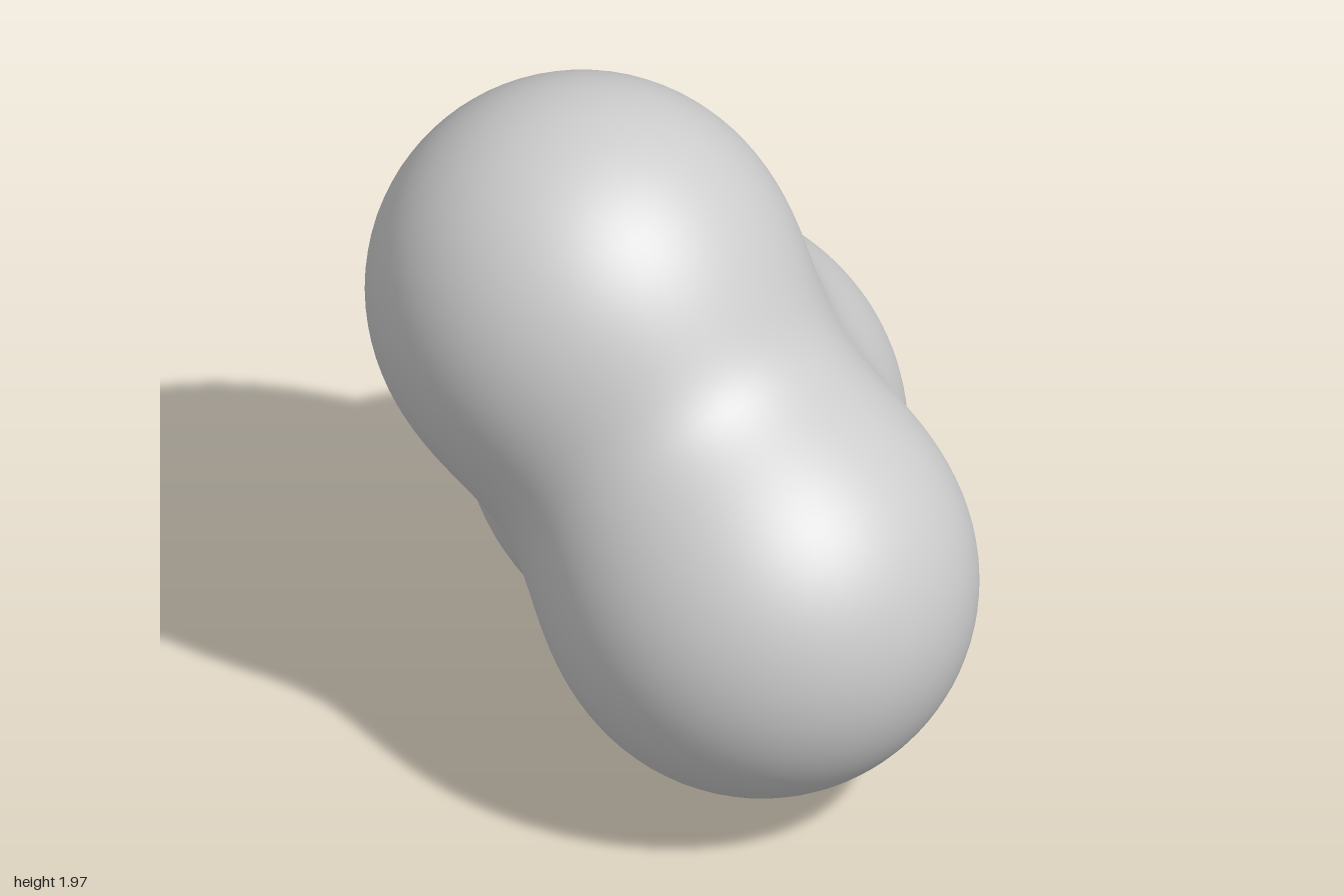
import * as THREE from 'three';

// Three equal balls melted into one smooth body
const BALLS = [
  new THREE.Vector3(-0.25, 1.37, -0.27), // upper lobe
  new THREE.Vector3(-0.18, 0.69, 0.41),  // front lobe
  new THREE.Vector3(0.25, 0.6, -0.4),    // rear lobe
];
const RADIUS = 0.595;
const BLEND = 0.16;

// Smooth union distance: negative inside the body
function field(p) {
  let sum = 0;
  for (const c of BALLS) sum += Math.exp((RADIUS - p.distanceTo(c)) / BLEND);
  return -BLEND * Math.log(sum);
}

// Outward normal: each ball's direction weighted by its influence
function fieldNormal(p) {
  const n = new THREE.Vector3();
  for (const c of BALLS) {
    const d = p.clone().sub(c);
    const len = d.length();
    n.addScaledVector(d, Math.exp((RADIUS - len) / BLEND) / len);
  }
  return n.normalize();
}

// Push every vertex of a sphere outward from the centre onto the blended surface
function blobGeometry(detail) {
  const geometry = new THREE.IcosahedronGeometry(1, detail);
  const pos = geometry.attributes.position;
  const normal = geometry.attributes.normal;
  const centre = new THREE.Vector3();
  BALLS.forEach((c) => centre.addScaledVector(c, 1 / BALLS.length));
  const dir = new THREE.Vector3();
  const p = new THREE.Vector3();
  for (let i = 0; i < pos.count; i++) {
    dir.fromBufferAttribute(pos, i).normalize();
    let near = 0, far = 2;
    for (let step = 0; step < 30; step++) {
      const mid = (near + far) / 2;
      p.copy(centre).addScaledVector(dir, mid);
      if (field(p) < 0) near = mid; else far = mid;
    }
    const n = fieldNormal(p);
    pos.setXYZ(i, p.x, p.y, p.z);
    normal.setXYZ(i, n.x, n.y, n.z);
  }
  geometry.deleteAttribute('uv');
  return geometry;
}

export function createModel() {
  const model = new THREE.Group();
  model.name = 'threeLobedBlob';
  const grey = new THREE.MeshStandardMaterial({ color: 0xcccccc });
  grey.name = 'lightGrey';
  const body = new THREE.Mesh(blobGeometry(24), grey);
  body.name = 'blendedBody';
  model.add(body);
  return model;
}
